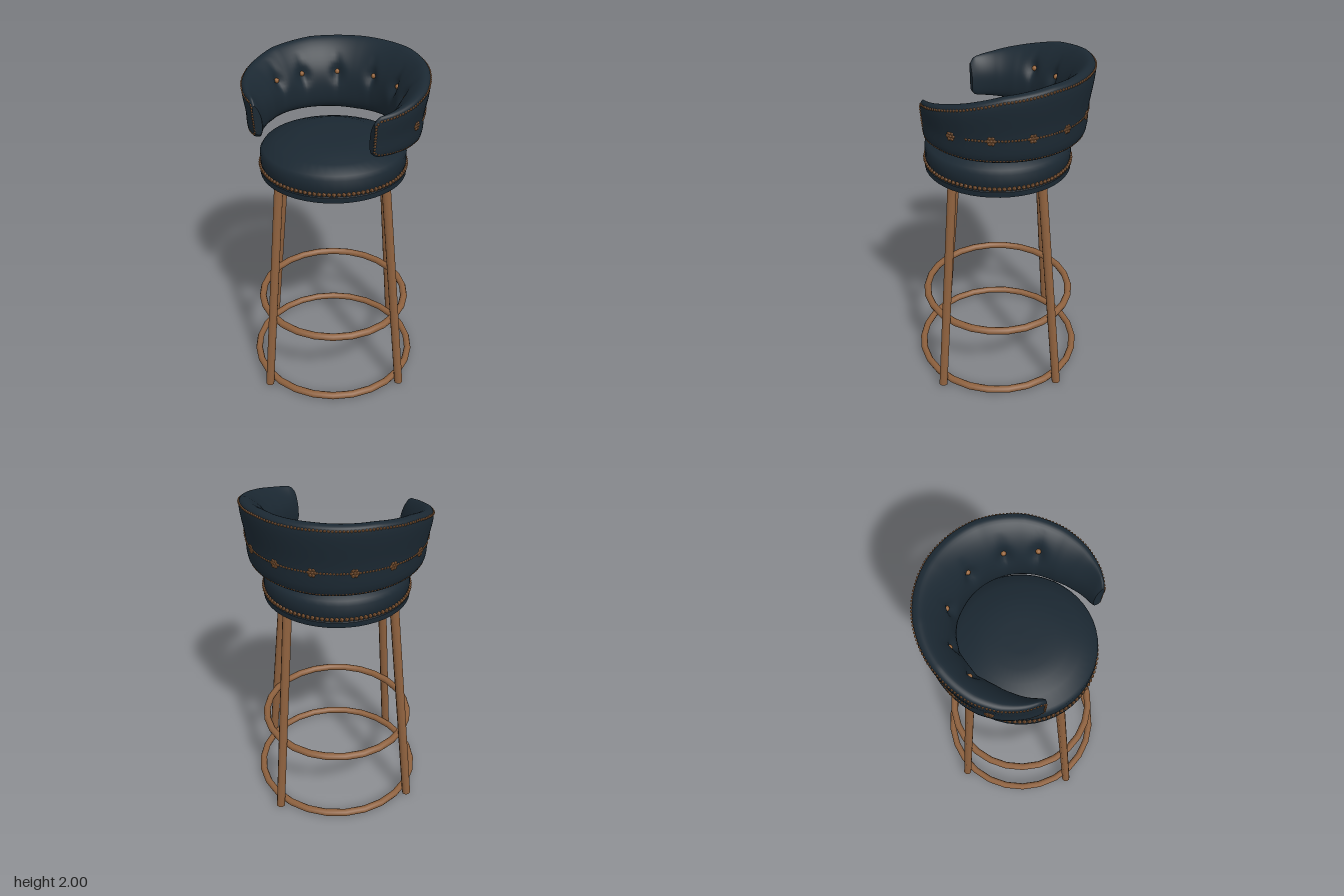
import * as THREE from 'three';
import { mergeGeometries, toCreasedNormals } from 'three/addons/utils/BufferGeometryUtils.js';

const mat = (name, color) => {
  const m = new THREE.MeshStandardMaterial({ color });
  m.name = name;
  return m;
};
const rad = THREE.MathUtils.degToRad;
const lerp = THREE.MathUtils.lerp;

// Piecewise-linear lookup through [x, y] pairs
function ramp(pairs, x) {
  for (let i = 1; i < pairs.length; i++) {
    const [x0, y0] = pairs[i - 1], [x1, y1] = pairs[i];
    if (x <= x1) return lerp(y0, y1, Math.max(0, (x - x0) / (x1 - x0)));
  }
  return pairs[pairs.length - 1][1];
}

// Point at an angle (degrees from the front, towards +x), radius and height
const polar = (deg, r, y) => new THREE.Vector3(r * Math.sin(rad(deg)), y, r * Math.cos(rad(deg)));

const START = 48, END = 312;
const TOP = [[48, 1.815], [51, 1.85], [66, 1.872], [90, 1.918], [114, 1.968], [143, 1.995], [180, 2]];
const BOTTOM = [[48, 1.645], [51, 1.622], [90, 1.605], [180, 1.59]];
const OUTER = [[48, 0.46], [60, 0.488], [75, 0.512], [90, 0.524], [180, 0.526]];
const INNER = [[48, 0.41], [70, 0.365], [85, 0.345], [180, 0.33]];
const TUFTS = [103, 130, 162.5, 197.5, 230, 257];

// Measurements of the backrest at one angle
function rest(deg) {
  const d = Math.min(deg, 360 - deg);
  const T = ramp(TOP, d), B = ramp(BOTTOM, d), ro = ramp(OUTER, d), ri = ramp(INNER, d);
  return { T, B, ro, ri, w: ro - ri, h: T - B };
}

// Radius of the flared outer wall at height y
function wall(deg, y) {
  const { T, B, ro, w, h } = rest(deg);
  return ro - 0.22 * w * Math.min(1, Math.max(0, (T - 0.04 - y) / (h - 0.05)));
}

// Closed cross-section of the backrest as [radius, height] points
function section(deg) {
  const { T, B, ro, ri, w, h } = rest(deg);
  const pts = [
    [ro - 0.22 * w, B + 0.01], [ro - 0.11 * w, B + 0.45 * h], [ro, T - 0.04],
    [ro - 0.05 * w, T - 0.008], [ro - 0.22 * w, T], [ri + 0.46 * w, T - 0.12 * h],
    [ri + 0.12 * w, B + 0.62 * h], [ri, B + 0.36 * h], [ri + 0.05 * w, B + 0.1 * h], [ri + 0.25 * w, B],
  ].map(([r, y]) => new THREE.Vector3(r, y, 0));
  return new THREE.CatmullRomCurve3(pts, true).getPoints(48).slice(0, 48);
}

// Swept backrest with dimples around the tufts and flat arm ends
function backrestGeometry() {
  const N = 120, pos = [], idx = [], M = 48;
  for (let i = 0; i <= N; i++) {
    const deg = lerp(START, END, i / N), { ri, w } = rest(deg);
    for (const p of section(deg)) {
      let r = p.x;
      if (r < ri + 0.7 * w && p.y < 1.93) {
        for (const t of TUFTS) {
          const da = (deg - t) / 6, dy = (p.y - 1.81) / 0.045;
          r += 0.03 * Math.exp(-da * da - dy * dy) + 0.008 * Math.exp(-da * da * 4 - dy * dy / 6);
        }
      }
      pos.push(...polar(deg, r, p.y).toArray());
    }
  }
  for (let i = 0; i < N; i++) for (let j = 0; j < M; j++) {
    const a = i * M + j, b = i * M + (j + 1) % M;
    idx.push(a, a + M, b, b, a + M, b + M);
  }
  for (const i of [0, N]) {
    const base = pos.length / 3, c = new THREE.Vector3();
    for (let j = 0; j < M; j++) {
      const p = new THREE.Vector3().fromArray(pos, (i * M + j) * 3);
      c.addScaledVector(p, 1 / M);
      pos.push(...p.toArray());
    }
    pos.push(...c.toArray());
    for (let j = 0; j < M; j++) {
      const a = base + j, b = base + (j + 1) % M;
      idx.push(...(i === 0 ? [base + M, a, b] : [base + M, b, a]));
    }
  }
  const g = new THREE.BufferGeometry();
  g.setAttribute('position', new THREE.Float32BufferAttribute(pos, 3));
  g.setIndex(idx);
  g.computeVertexNormals();
  return g;
}

// Many small beads merged into one geometry
const beads = (points, size) => mergeGeometries(points.map((p) =>
  new THREE.IcosahedronGeometry(size, 0).translate(p.x, p.y, p.z)));

export function createModel() {
  const model = new THREE.Group();
  const leather = mat('navy leather', 0x1b2832);
  const wood = mat('brown wood', 0x8e613e);
  const bronze = mat('bronze studs', 0x96643a);
  const add = (name, geometry, material) => {
    const m = new THREE.Mesh(geometry, material);
    m.name = name;
    model.add(m);
    return m;
  };

  // Four splayed legs: one pair near the front and back, one near the sides
  for (const [foot, top] of [[-27, -30.5], [71, 70], [153, 149.5], [251, 250]]) {
    const a = polar(foot, 0.545, 0.005), b = polar(top, 0.385, 1.385);
    const dir = b.clone().sub(a);
    const leg = add('leg', new THREE.CylinderGeometry(0.027, 0.027, dir.length(), 8), wood);
    leg.position.copy(a).add(b).multiplyScalar(0.5);
    leg.quaternion.setFromUnitVectors(new THREE.Vector3(0, 1, 0), dir.normalize());
  }

  // Floor ring and foot ring
  for (const [name, r, y] of [['floorRing', 0.504, 0.032], ['footRing', 0.456, 0.468]])
    add(name, new THREE.TorusGeometry(r, 0.022, 8, 26).rotateX(Math.PI / 2).translate(0, y, 0), wood);

  // Round domed seat
  const profile = [[0, 1.37], [0.422, 1.37], [0.424, 1.402], [0.418, 1.406], [0.418, 1.434], [0.42, 1.438],
    [0.419, 1.5], [0.404, 1.523], [0.33, 1.552], [0.26, 1.576], [0.19, 1.59], [0.1, 1.593], [0, 1.593]]
    .map(([r, y]) => new THREE.Vector2(r, y));
  add('seat', toCreasedNormals(new THREE.LatheGeometry(profile, 48), 0.7), leather);
  const seatStuds = [];
  for (let i = 0; i < 100; i++) seatStuds.push(polar(i * 3.6, 0.42, 1.42));
  add('seatStuds', beads(seatStuds, 0.0125), bronze);

  // Curved backrest
  add('backrest', backrestGeometry(), leather);

  // Studs along the edges of the outer wall
  const edge = [];
  for (let d = START + 2; d <= END - 2; d += 2) {
    const { T, B } = rest(d);
    edge.push(polar(d, wall(d, T - 0.025) - 0.002, T - 0.022), polar(d, wall(d, B + 0.02), B + 0.02));
  }
  for (const d of [START + 0.8, END - 0.8])
    for (let y = 1.66; y < 1.81; y += 0.016) edge.push(polar(d, wall(d, y), y));
  add('edgeStuds', beads(edge, 0.0075), bronze);

  // Chain of studs with rosettes around the outside
  const chain = [], petals = [];
  for (let d = 92; d <= 268; d += 1.9) chain.push(polar(d, wall(d, 1.738) + 0.001, 1.738));
  for (let k = -4; k <= 4; k++) {
    const d = 180 + 24.5 * k, r = wall(d, 1.738) + 0.002;
    petals.push(polar(d, r, 1.738));
    for (let p = 0; p < 6; p++) {
      const t = p * Math.PI / 3;
      petals.push(polar(d + 1.9 * Math.cos(t), r, 1.738 + 0.017 * Math.sin(t)));
    }
  }
  add('chainStuds', beads(chain, 0.0075), bronze);
  add('rosettes', beads(petals, 0.0105), bronze);

  // Buttons set into the tufts, seated on the inner face
  const buttons = TUFTS.map((t) => {
    const { ri, w } = rest(t);
    const inner = section(t).filter((p) => p.x < ri + 0.75 * w);
    const near = inner.reduce((m, p) => (Math.abs(p.y - 1.81) < Math.abs(m.y - 1.81) ? p : m));
    return polar(t, near.x + 0.032, 1.815);
  });
  add('buttons', mergeGeometries(buttons.map((p) =>
    new THREE.SphereGeometry(0.015, 10, 8).translate(p.x, p.y, p.z))), bronze);

  return model;
}
